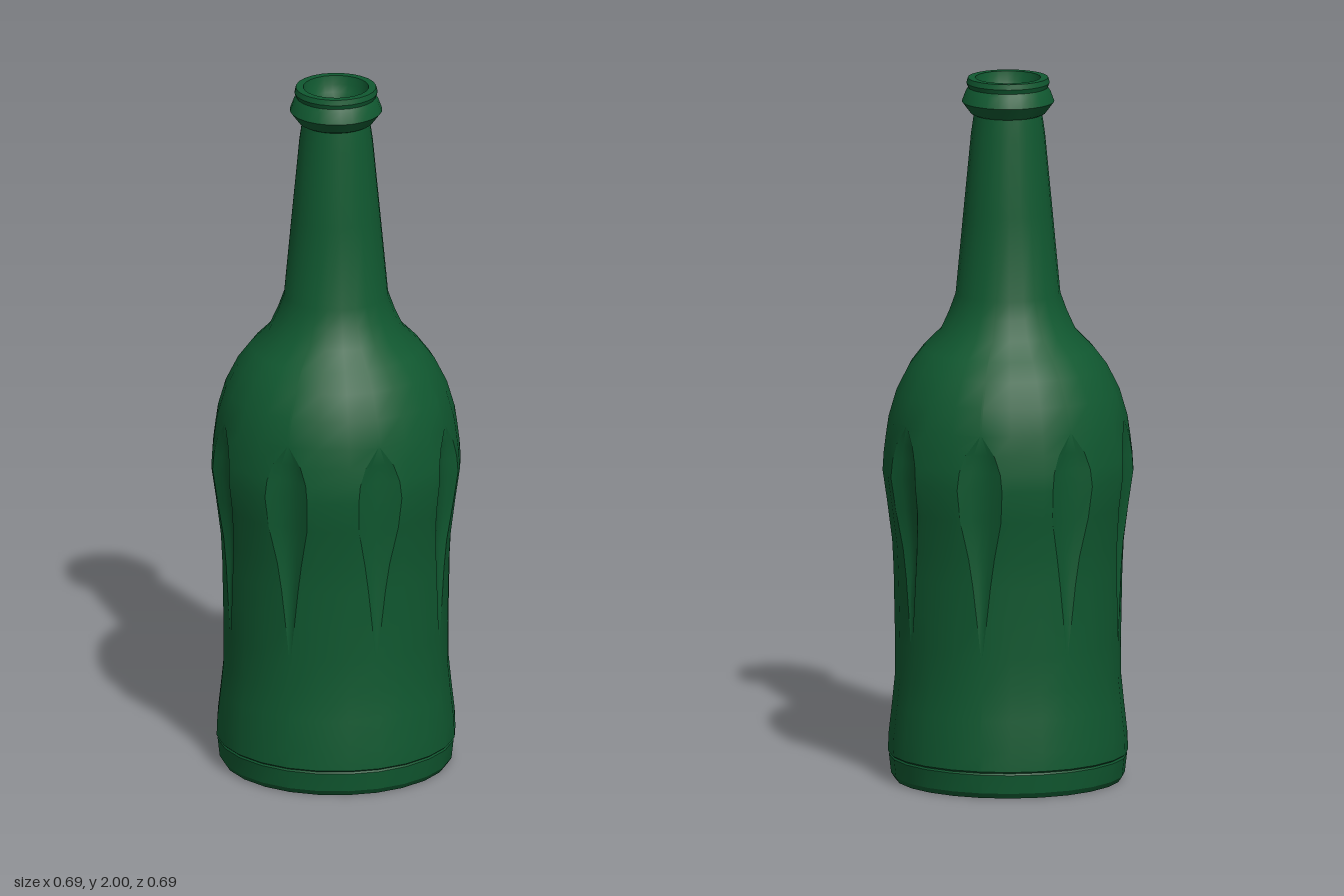
import * as THREE from 'three';
import { toCreasedNormals } from 'three/addons/utils/BufferGeometryUtils.js';

const RAD = Math.PI / 180;

// Rows: [radius, height, flute half-width in degrees, flute depth]
const OUTSIDE = [
  [0, 0], [0.318, 0], [0.328, 0.015], [0.334, 0.068], [0.331, 0.073], [0.337, 0.078],
  [0.335, 0.13], [0.325, 0.22], [0.317, 0.3], [0.317, 0.4], [0.319, 0.5, 2.5, 0.006],
  [0.321, 0.6, 4.5, 0.011], [0.325, 0.68, 6.5, 0.016], [0.339, 0.79, 10, 0.022],
  [0.352, 0.88, 10.6, 0.026], [0.349, 0.93, 9.8, 0.023], [0.343, 0.98, 7, 0.015],
  [0.335, 1.035], [0.313, 1.11], [0.278, 1.18], [0.24, 1.23], [0.19, 1.28],
  [0.165, 1.335], [0.147, 1.385], [0.125, 1.62], [0.104, 1.84], [0.096, 1.895],
];
const LIP = [
  [0.096, 1.895], [0.106, 1.9], [0.13, 1.932], [0.119, 1.962], [0.112, 1.972],
  [0.117, 1.985], [0.113, 2], [0.092, 2], [0.088, 1.975], [0.08, 1.955], [0.066, 1.93],
  [0.062, 1.88], [0.062, 1.7],
];

// Sweep rows round the axis; eight flutes sink in where a row has a depth
function sweep(rows) {
  const pos = [], index = [];
  const cols = 8 * 7;
  for (const [r, y, half = 0.6, depth = 0] of rows) {
    for (let k = 0; k < 8; k++) {
      const column = (deg, sink) => {
        const a = (k * 45 + deg) * RAD;
        pos.push((r - sink) * Math.sin(a), y, (r - sink) * Math.cos(a));
      };
      for (const s of [-1, -0.5, 0, 0.5, 1]) column(s * half, depth * (1 - s * s));
      column(14.8, 0);
      column(30.2, 0);
    }
  }
  for (let j = 0; j < rows.length - 1; j++) {
    for (let i = 0; i < cols; i++) {
      const n = (i + 1) % cols;
      const a = j * cols + i, b = j * cols + n;
      index.push(a, b, b + cols, a, b + cols, a + cols);
    }
  }
  const geo = new THREE.BufferGeometry();
  geo.setAttribute('position', new THREE.Float32BufferAttribute(pos, 3));
  geo.setIndex(index);
  return toCreasedNormals(geo, 26 * RAD);
}

export function createModel() {
  const glass = new THREE.MeshStandardMaterial({ color: 0x105830 });
  glass.name = 'bottle green';
  const pale = new THREE.MeshStandardMaterial({ color: 0xd0c8a0 });
  pale.name = 'pale beige';

  const bottle = new THREE.Group();
  bottle.name = 'bottle';
  const add = (name, geometry, material) => {
    const mesh = new THREE.Mesh(geometry, material);
    mesh.name = name;
    bottle.add(mesh);
    return mesh;
  };

  // Fluted body with shoulder and neck
  add('body', sweep(OUTSIDE), glass);
  // Collar, rim and inner wall of the mouth
  add('lip', sweep(LIP), glass);
  // Contents visible down the neck
  const contents = add('contents', new THREE.CircleGeometry(0.063, 56), pale);
  contents.rotation.x = -Math.PI / 2;
  contents.position.y = 1.702;

  return bottle;
}
